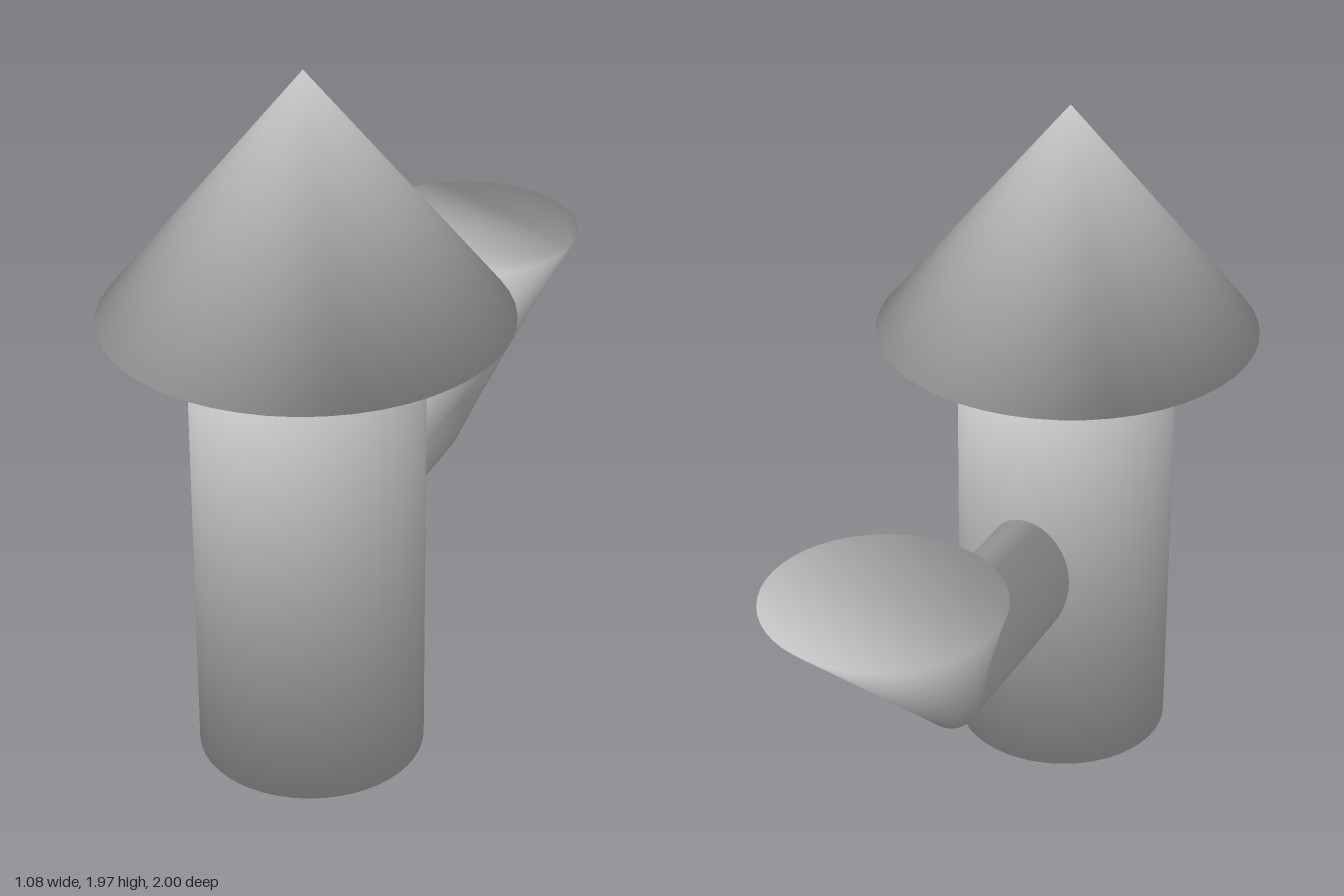
import * as THREE from 'three';
import { mergeVertices } from 'three/addons/utils/BufferGeometryUtils.js';

const SEGMENTS = 48;
const material = new THREE.MeshStandardMaterial({ color: 0xcccccc });

// Smooth normals across every edge, each face weighted by its corner angle
function smoothNormals(geometry) {
  const position = geometry.attributes.position;
  const index = geometry.index;
  const sums = Array.from({ length: position.count }, () => new THREE.Vector3());
  const face = new THREE.Vector3();
  for (let i = 0; i < index.count; i += 3) {
    const ids = [0, 1, 2].map((k) => index.getX(i + k));
    const corners = ids.map((id) => new THREE.Vector3().fromBufferAttribute(position, id));
    THREE.Triangle.getNormal(...corners, face);
    ids.forEach((id, k) => {
      const toNext = corners[(k + 1) % 3].clone().sub(corners[k]);
      const toLast = corners[(k + 2) % 3].clone().sub(corners[k]);
      sums[id].addScaledVector(face, toNext.angleTo(toLast));
    });
  }
  const normals = sums.flatMap((n) => n.normalize().toArray());
  geometry.setAttribute('normal', new THREE.Float32BufferAttribute(normals, 3));
  return geometry;
}

// Closed smooth skin through rings; each ring maps (cos, sin) to a point
function loft(rings) {
  const positions = [];
  const index = [];
  for (const ring of rings) {
    for (let i = 0; i < SEGMENTS; i++) {
      const a = (i / SEGMENTS) * Math.PI * 2;
      positions.push(...ring(Math.cos(a), Math.sin(a)));
    }
  }
  const last = (rings.length - 1) * SEGMENTS;
  for (let i = 0; i < SEGMENTS; i++) {
    const j = (i + 1) % SEGMENTS;
    for (let r = 0; r < last; r += SEGMENTS) {
      const s = r + SEGMENTS;
      index.push(r + i, s + i, r + j, r + j, s + i, s + j);
    }
    // Flat end caps, fanned from the first point of the ring
    if (i > 0 && j > 0) index.push(0, i, j, last, last + j, last + i);
  }
  const geometry = new THREE.BufferGeometry();
  geometry.setAttribute('position', new THREE.Float32BufferAttribute(positions, 3));
  geometry.setIndex(index);
  return smoothNormals(mergeVertices(geometry));
}

export function createModel() {
  const group = new THREE.Group();
  const add = (name, rings) => {
    const mesh = new THREE.Mesh(loft(rings), material);
    mesh.name = name;
    group.add(mesh);
  };

  // Ring shapes: level circle and upright oval
  const circle = (radius, y, z, x = 0) => (c, s) => [x + radius * c, y, z + radius * s];
  const oval = (x, z) => (c, s) => [x + 0.127 * c, 0.638 + 0.193 * s, z];

  // Upright round body with a wide conical roof
  const bodyZ = 0.46;
  add('body', [circle(0.31, 0, bodyZ), circle(0.31, 1.3, bodyZ)]);
  add('roof', [circle(0.54, 1.3, bodyZ), circle(0, 1.97, bodyZ)]);

  // Oval pipe running backwards, then flaring up into a flat round top
  const pipeX = -0.015;
  add('spout', [oval(pipeX, 0.25), oval(pipeX, -0.356), circle(0.322, 1.05, -0.678, pipeX)]);

  return group;
}
